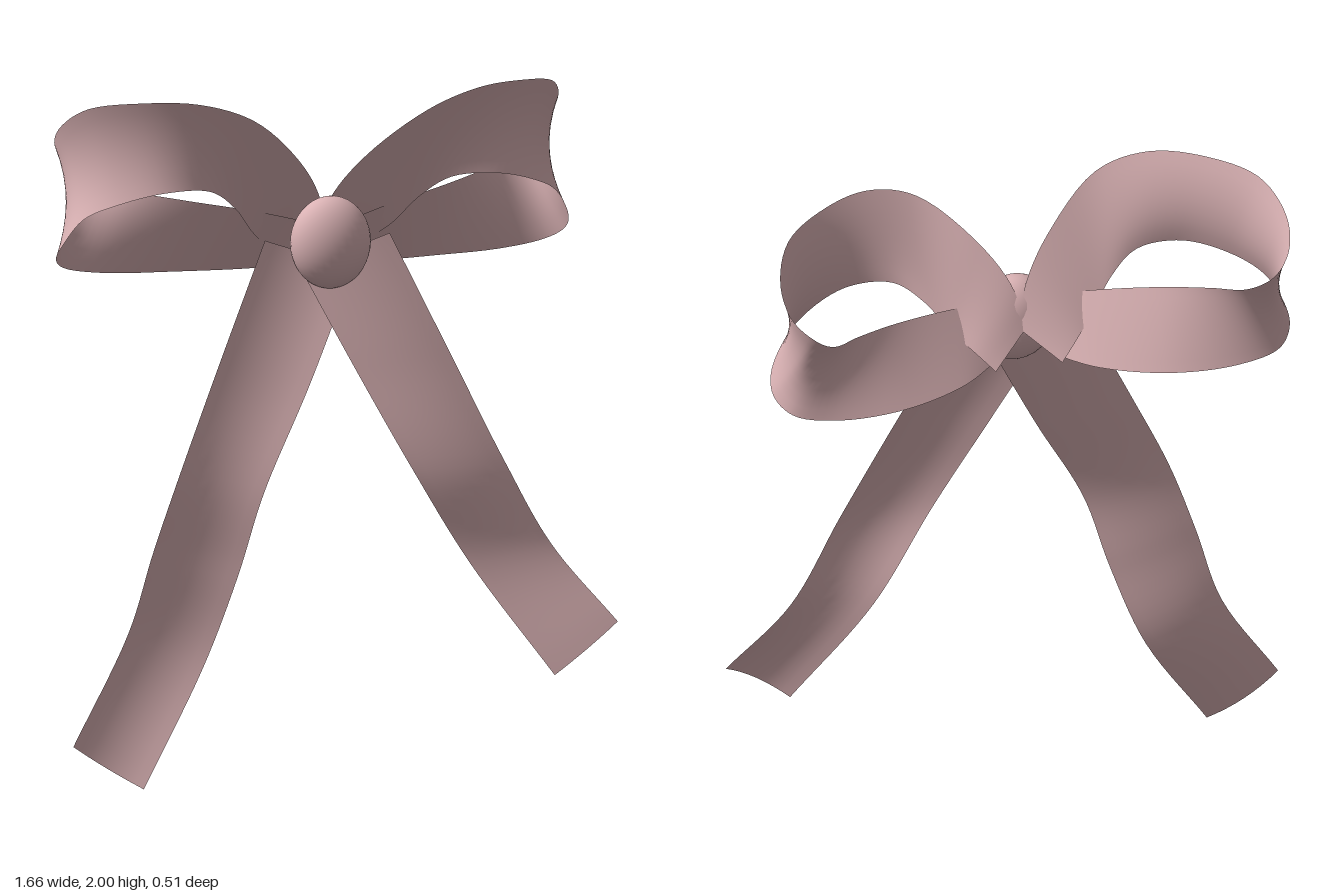
import * as THREE from 'three';

const ribbonPink = new THREE.MeshStandardMaterial({ color: 0xdab2b4, side: THREE.DoubleSide });
ribbonPink.name = 'ribbonPink';

// Surface between two edge curves; bow(t) curves it across its width
function ribbon(name, edgeA, edgeB, bow, steps, mirror = 1) {
  const curve = pts => new THREE.CatmullRomCurve3(pts.map(([x, y, z]) => new THREE.Vector3(x, y, z)), false, 'centripetal');
  const a = curve(edgeA), b = curve(edgeB), across = 8;
  const pos = [], index = [];
  for (let i = 0; i <= steps; i++) {
    const t = i / steps, pa = a.getPoint(t), pb = b.getPoint(t);
    const along = a.getTangent(t).add(b.getTangent(t));
    const normal = along.cross(pb.clone().sub(pa)).normalize();
    for (let j = 0; j <= across; j++) {
      const v = j / across;
      const p = pa.clone().lerp(pb, v).addScaledVector(normal, bow(t) * 4 * v * (1 - v));
      pos.push(p.x * mirror, p.y, p.z);
      if (i < steps && j < across) {
        const k = i * (across + 1) + j, n = k + across + 1;
        if (mirror > 0) index.push(k, n, k + 1, n, n + 1, k + 1);
        else index.push(k, k + 1, n, n, k + 1, n + 1);
      }
    }
  }
  const geo = new THREE.BufferGeometry();
  geo.setAttribute('position', new THREE.Float32BufferAttribute(pos, 3));
  geo.setIndex(index);
  geo.computeVertexNormals();
  const mesh = new THREE.Mesh(geo, ribbonPink);
  mesh.name = name;
  return mesh;
}

export function createModel() {
  const bow = new THREE.Group();
  bow.name = 'ribbonBow';

  // Loops: from behind the knot along the top front, round the end, back along the lower rear
  const loopTop = [
    [-0.01, 1.56, -0.01], [0.02, 1.68, 0.035], [0.11, 1.81, 0.1], [0.27, 1.945, 0.175], [0.42, 1.995, 0.16], [0.58, 1.995, 0.085],
    [0.71, 1.965, -0.02], [0.76, 1.89, -0.13], [0.745, 1.82, -0.21], [0.69, 1.77, -0.255], [0.62, 1.715, -0.215],
    [0.53, 1.69, -0.14], [0.4, 1.67, -0.065], [0.2, 1.64, 0.02], [0.06, 1.61, 0.07]];
  const loopBottom = [
    [0.1, 1.47, -0.08], [0.15, 1.52, -0.05], [0.215, 1.58, 0], [0.28, 1.66, 0.045], [0.365, 1.72, 0.08], [0.5, 1.725, 0.085],
    [0.63, 1.69, 0.04], [0.72, 1.64, -0.02], [0.77, 1.56, -0.06], [0.775, 1.51, -0.11], [0.73, 1.47, -0.165],
    [0.6, 1.445, -0.185], [0.4, 1.44, -0.17], [0.2, 1.45, -0.1], [0.08, 1.47, -0.02]];
  for (const [name, side] of [['leftLoop', 1], ['rightLoop', -1]])
    bow.add(ribbon(name, loopTop, loopBottom, t => 0.025 * Math.sin(Math.PI * t) ** 4, 80, side));

  // Hanging tails, both cupped lengthwise
  bow.add(ribbon('leftTail',
    [[0.19, 1.56, 0.05], [0.35, 1.21, 0.125], [0.5, 0.89, 0.175], [0.65, 0.63, 0.16], [0.83, 0.405, 0.22]],
    [[-0.09, 1.48, 0.065], [0.06, 1.18, 0.13], [0.22, 0.88, 0.18], [0.4, 0.59, 0.165], [0.63, 0.263, 0.245]],
    () => -0.022, 36));
  bow.add(ribbon('rightTail',
    [[-0.19, 1.56, 0.05], [-0.36, 1.2, 0.125], [-0.495, 0.9, 0.18], [-0.57, 0.68, 0.17], [-0.64, 0.45, 0.16], [-0.83, 0.135, 0.225]],
    [[0.08, 1.47, 0.06], [-0.08, 1.14, 0.13], [-0.235, 0.84, 0.18], [-0.31, 0.6, 0.17], [-0.41, 0.34, 0.16], [-0.62, 0, 0.24]],
    () => -0.018, 36));

  // Knot
  const knot = new THREE.Mesh(new THREE.SphereGeometry(1, 32, 20), ribbonPink);
  knot.name = 'knot';
  knot.scale.set(0.12, 0.136, 0.085);
  knot.position.set(0, 1.55, 0.08);
  bow.add(knot);
  return bow;
}
